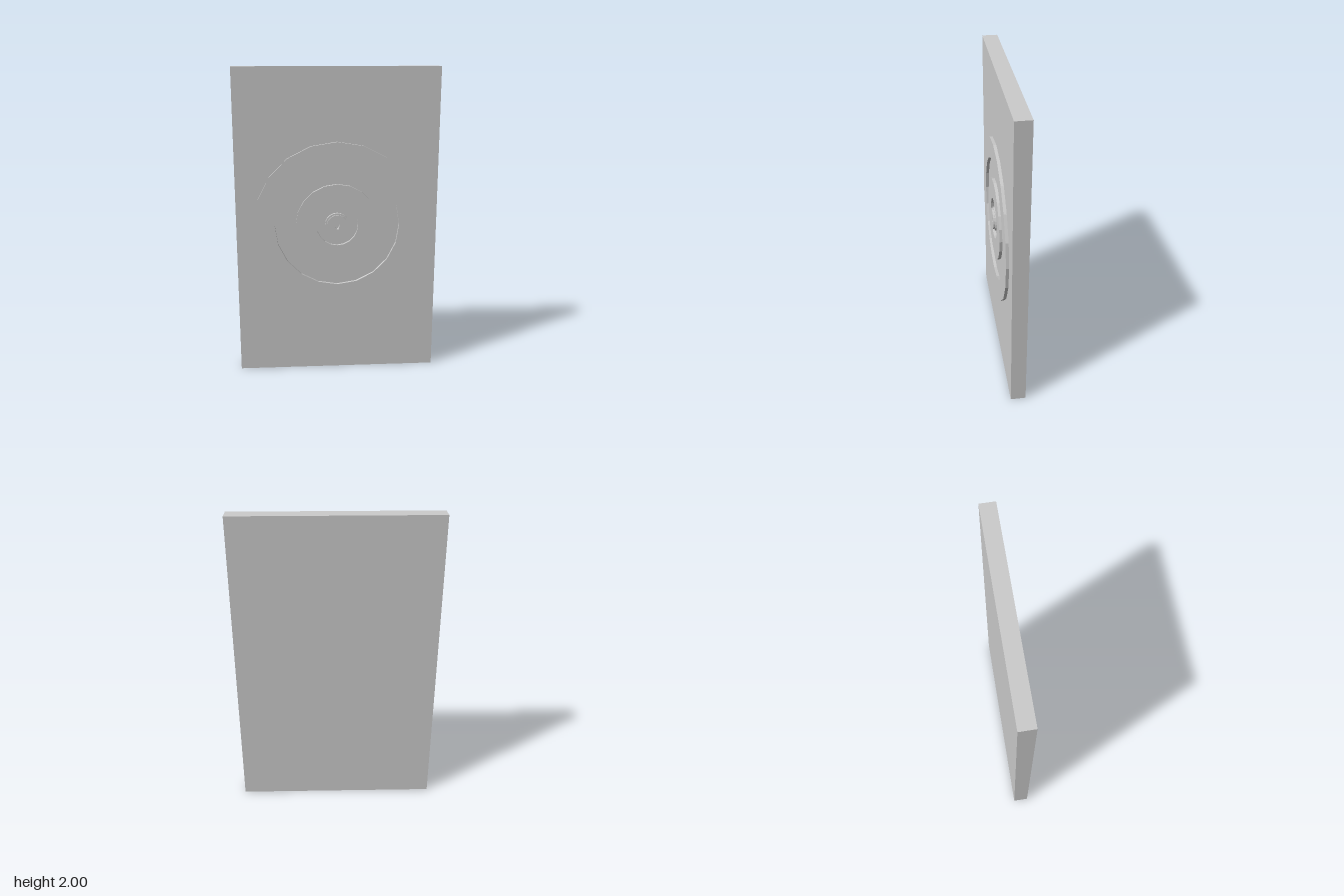
import * as THREE from 'three';

const material = new THREE.MeshStandardMaterial({ color: 0xcccccc, flatShading: true });
const FACE = 0.033; // z of the panel's front face

// Points of a polygonal ellipse with a vertex at the top
function oval(rx, ry, sides) {
  return Array.from({ length: sides }, (_, i) => {
    const a = Math.PI / 2 + (i / sides) * Math.PI * 2;
    return new THREE.Vector2(rx * Math.cos(a), ry * Math.sin(a));
  });
}

// Flat plate standing on z0, with an optional hole
function plate(name, outer, hole, z0, z1) {
  const shape = new THREE.Shape(outer);
  if (hole) shape.holes.push(new THREE.Path(hole));
  const geometry = new THREE.ExtrudeGeometry(shape, { depth: z1 - z0, bevelEnabled: false });
  const mesh = new THREE.Mesh(geometry, material);
  mesh.name = name;
  mesh.position.set(0, 1, z0);
  return mesh;
}

export function createModel() {
  const model = new THREE.Group();
  model.name = 'targetPanel';

  // Backing board
  const panel = new THREE.Mesh(new THREE.BoxGeometry(1.3, 2, 0.098), material);
  panel.name = 'panel';
  panel.position.set(0, 1, FACE - 0.049);
  model.add(panel);

  // Raised concentric rings
  const circle = (r) => oval(r, r, 20);
  model.add(plate('outerRing', circle(0.538), circle(0.403), FACE, 0.052));
  model.add(plate('innerRing', circle(0.268), circle(0.135), FACE, 0.052));

  // Stepped centre boss with an oval slot
  const slot = oval(0.013, 0.027, 12);
  model.add(plate('bossBase', circle(0.079), slot, FACE, 0.052));
  model.add(plate('bossCap', circle(0.068), slot, 0.052, 0.063));

  return model;
}
